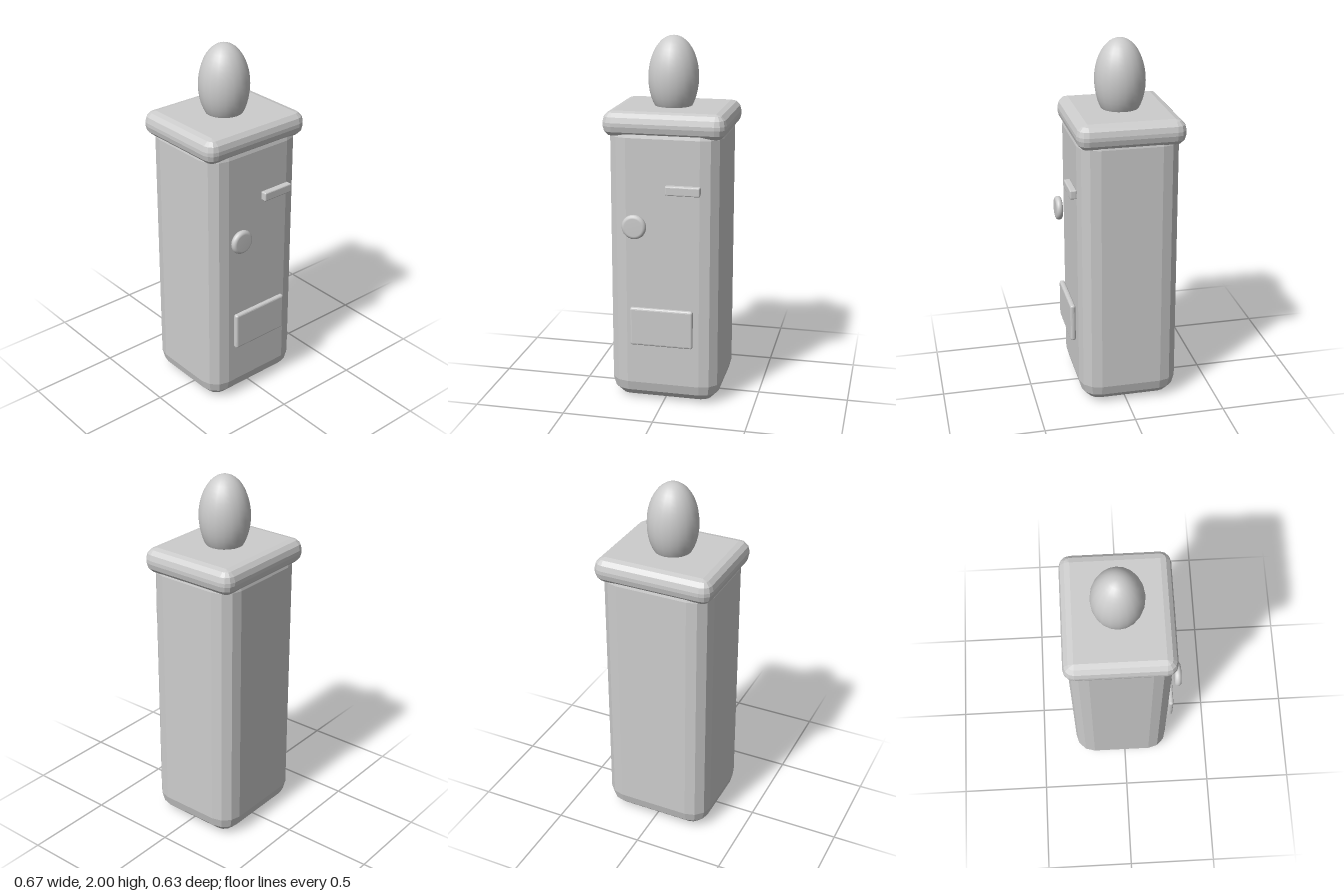
import * as THREE from 'three';

const grey = new THREE.MeshStandardMaterial({ color: 0xcccccc });
grey.name = 'plainGrey';
const greyFlat = grey.clone();
greyFlat.name = 'plainGreyFaceted';
greyFlat.flatShading = true;

// Box with every edge rounded in three facets: a sphere grid whose octants are pulled apart.
function roundedBox(width, height, depth, radius) {
  const geometry = new THREE.SphereGeometry(1, 16, 9);
  const position = geometry.attributes.position;
  const step = Math.PI / 6;
  for (let row = 0; row <= 9; row++) {
    for (let col = 0; col <= 16; col++) {
      const i = row * 17 + col;
      const top = row <= 4;
      if (row === 0 || row === 9) {
        position.setXYZ(i, 0, top ? height / 2 : -height / 2, 0); // centres of the flat ends
        continue;
      }
      const theta = (top ? row - 1 : row - 2) * step;
      const quarter = Math.floor(col / 4) % 4;
      const phi = quarter * Math.PI / 2 + (col % 4) * step;
      const middle = quarter * Math.PI / 2 + Math.PI / 4;
      position.setXYZ(i,
        -Math.sign(Math.cos(middle)) * (width / 2 - radius) - radius * Math.cos(phi) * Math.sin(theta),
        (top ? 1 : -1) * (height / 2 - radius) + radius * Math.cos(theta),
        Math.sign(Math.sin(middle)) * (depth / 2 - radius) + radius * Math.sin(phi) * Math.sin(theta));
    }
  }
  const faceted = geometry.toNonIndexed();
  faceted.computeVertexNormals();
  return faceted;
}

export function createModel() {
  const model = new THREE.Group();
  model.name = 'cabinet';

  const add = (name, geometry, material, x, y, z) => {
    const mesh = new THREE.Mesh(geometry, material);
    mesh.name = name;
    mesh.position.set(x, y, z);
    model.add(mesh);
    return mesh;
  };

  // Tall body and overhanging cap
  add('body', roundedBox(0.62, 1.6, 0.55, 0.11), greyFlat, 0, 0.8, -0.022);
  add('cap', roundedBox(0.666, 0.136, 0.58, 0.058), greyFlat, 0, 1.557, -0.025);

  // Egg-shaped finial sunk into the cap
  const egg = new THREE.SphereGeometry(1, 20, 20);
  egg.scale(0.137, 0.225, 0.137);
  add('finial', egg, grey, 0, 1.775, -0.025);

  // Fittings on the front
  add('slot', roundedBox(0.187, 0.05, 0.037, 0.007), greyFlat, 0.114, 1.224, 0.271);
  add('lowerPanel', roundedBox(0.347, 0.216, 0.03, 0.012), greyFlat, -0.002, 0.453, 0.276);

  // Round knob with a rounded rim
  const profile = [new THREE.Vector2(0, -0.019)];
  for (let i = 0; i <= 8; i++) {
    const a = -Math.PI / 2 + i * Math.PI / 8;
    profile.push(new THREE.Vector2(0.048 + 0.019 * Math.cos(a), 0.019 * Math.sin(a)));
  }
  profile.push(new THREE.Vector2(0, 0.019));
  const knob = add('knob', new THREE.LatheGeometry(profile, 28), grey, -0.146, 1.02, 0.293);
  knob.rotation.x = Math.PI / 2;

  return model;
}
